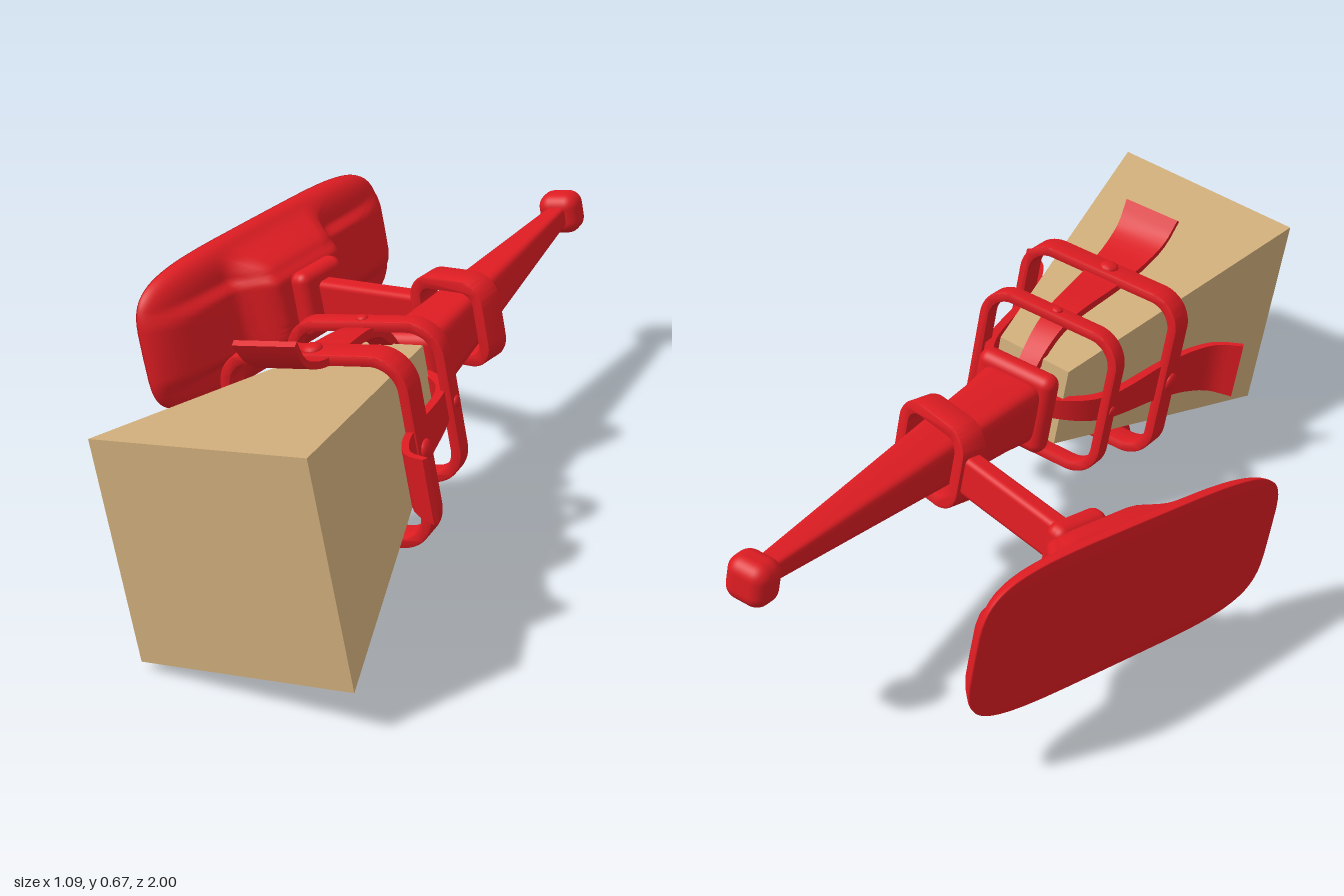
import * as THREE from 'three';
import { toCreasedNormals } from 'three/addons/utils/BufferGeometryUtils.js';
import { RoundedBoxGeometry } from 'three/addons/geometries/RoundedBoxGeometry.js';

const red = new THREE.MeshStandardMaterial({ color: 0xdc1c22 });
const tan = new THREE.MeshStandardMaterial({ color: 0xd2b07c });

function add(parent, name, geometry, material = red) {
  const mesh = new THREE.Mesh(geometry, material);
  mesh.name = name;
  parent.add(mesh);
  return mesh;
}

// Smooth skin over rows of points; every row is a closed loop
function skin(rows, columns, pointAt) {
  const positions = [], index = [];
  for (let i = 0; i < rows; i++) {
    for (let j = 0; j < columns; j++) {
      positions.push(...pointAt(i, (j / columns) * Math.PI * 2));
      if (i === rows - 1) continue;
      const a = i * columns + j, b = i * columns + (j + 1) % columns;
      index.push(a, b, b + columns, a, b + columns, a + columns);
    }
  }
  const geometry = new THREE.BufferGeometry();
  geometry.setAttribute('position', new THREE.Float32BufferAttribute(positions, 3));
  geometry.setIndex(index);
  geometry.computeVertexNormals();
  return geometry;
}

// Point on a rounded-square outline
function outline(angle, a, b, power = 5) {
  const f = (v) => Math.sign(v) * Math.abs(v) ** (2 / power);
  return [a * f(Math.cos(angle)), b * f(Math.sin(angle))];
}

// Rounded-square bar along z from [z, half size] stations
function bar(stations) {
  return skin(stations.length, 32, (i, t) => [...outline(t, stations[i][1], stations[i][1]), stations[i][0]]);
}

function roundedSquare(path, h, r) {
  path.moveTo(h, -h + r);
  path.absarc(h - r, h - r, r, 0, Math.PI / 2);
  path.absarc(-h + r, h - r, r, Math.PI / 2, Math.PI);
  path.absarc(-h + r, -h + r, r, Math.PI, Math.PI * 1.5);
  path.absarc(h - r, -h + r, r, Math.PI * 1.5, Math.PI * 2);
  path.closePath();
  return path;
}

// Hollow rounded-square hoop centred on z = 0
function hoop(half, thickness, width, radius) {
  const bevel = 0.005, h = half - bevel;
  const shape = roundedSquare(new THREE.Shape(), h, radius);
  shape.holes.push(roundedSquare(new THREE.Path(), half - thickness + bevel, radius - thickness + 2 * bevel));
  const geometry = new THREE.ExtrudeGeometry(shape, {
    depth: width - 2 * bevel, bevelSize: bevel, bevelThickness: bevel, bevelSegments: 2, curveSegments: 8,
  });
  geometry.translate(0, 0, -width / 2 + bevel);
  return toCreasedNormals(geometry, 0.6);
}

// Curved strip that widens and flares out towards its tip
function prong() {
  const path = new THREE.CatmullRomCurve3(
    [[0.02, 0.085], [0.085, 0.11], [0.145, 0.165], [0.175, 0.23], [0.207, 0.43], [0.235, 0.53], [0.27, 0.59], [0.325, 0.622]]
      .map(([r, z]) => new THREE.Vector3(0, r, z)));
  const geometry = new THREE.BoxGeometry(1, 1, 1, 1, 1, 28);
  const pos = geometry.attributes.position;
  for (let i = 0; i < pos.count; i++) {
    const t = pos.getZ(i) + 0.5;
    const p = path.getPointAt(t), d = path.getTangentAt(t);
    const width = 0.045 + 0.105 * t ** 1.3, off = pos.getY(i) * (0.026 - 0.012 * t);
    pos.setXYZ(i, pos.getX(i) * width, p.y + off * d.z, p.z - off * d.y);
  }
  return toCreasedNormals(geometry, 0.6);
}

// Wall plate in the yz plane: flat back, ridged front, central boss
function wallPlate() {
  const front = 36, back = 4, step = THREE.MathUtils.smoothstep;
  return skin(front + back + 1, 72, (i, t) => {
    const r = i <= front ? Math.sin((i / front) * Math.PI / 2) : 1 - (i - front) / back;
    const [z, y] = outline(t, 0.46 * r, 0.195 * r, 4.5);
    if (i >= front) return [0, y, z];
    const ridge = 1 - step(Math.abs(y), 0.075, 0.105);
    const boss = (1 - step(Math.abs(z), 0.11, 0.19)) * (1 - step(Math.abs(y), 0.10, 0.18));
    const edge = Math.sqrt(1 - r ** 6);
    return [edge * (0.06 + 0.02 * ridge) + 0.085 * boss * edge, y, z];
  });
}

// Tapered block, slightly skewed at its far end
function flameBlock() {
  const geometry = new THREE.BoxGeometry(1, 1, 1);
  const pos = geometry.attributes.position;
  for (let i = 0; i < pos.count; i++) {
    const t = pos.getZ(i) + 0.5;
    const size = THREE.MathUtils.lerp(0.205, 0.52, t);
    const x = pos.getX(i) * size;
    pos.setXYZ(i, x + 0.017 * t, pos.getY(i) * size, 0.125 + 0.85 * t + 0.068 * x);
  }
  geometry.computeVertexNormals();
  return geometry;
}

export function createModel() {
  const model = new THREE.Group();
  model.name = 'wallTorch';

  // Torch frame: z runs along the handle towards the flame
  const torch = new THREE.Group();
  torch.name = 'torch';
  const roll = THREE.MathUtils.degToRad(9.5);
  const z = new THREE.Vector3(0.022, -0.062, 1).normalize();
  const x = new THREE.Vector3(-Math.sin(roll), Math.cos(roll), 0).cross(z).normalize();
  const y = z.clone().cross(x);
  torch.quaternion.setFromRotationMatrix(new THREE.Matrix4().makeBasis(x, y, z));
  torch.position.set(0.186, 0.371, 0);
  model.add(torch);

  add(torch, 'flame', flameBlock(), tan);

  // Handle with end knob and collar
  add(torch, 'handle', bar([[-0.94, 0], [-0.94, 0.024], [-0.6, 0.044], [-0.28, 0.063], [-0.05, 0.076], [0.02, 0.083], [0.06, 0.086], [0.06, 0]]));
  add(torch, 'knob', new RoundedBoxGeometry(0.108, 0.108, 0.088, 5, 0.035)).position.z = -0.953;
  add(torch, 'collar', new RoundedBoxGeometry(0.215, 0.215, 0.06, 5, 0.028)).position.z = 0.062;
  add(torch, 'collarCap', new THREE.SphereGeometry(0.07, 20, 12)).position.z = 0.05;

  // Cage: two hoops, four prongs and their rivets
  const hoops = [
    { at: 0.2, half: 0.198, width: 0.045, rivet: 0.014 },
    { at: 0.437, half: 0.23, width: 0.066, rivet: 0.024 },
  ];
  for (const h of hoops) {
    add(torch, 'cageHoop', hoop(h.half, 0.026, h.width, 0.08)).position.z = h.at;
  }
  const prongGeometry = prong();
  for (let k = 0; k < 4; k++) {
    const side = new THREE.Group();
    side.name = 'cageSide';
    side.rotation.z = (k * Math.PI) / 2;
    torch.add(side);
    add(side, 'prong', prongGeometry);
    for (const h of hoops) {
      const rivet = add(side, 'rivet', new THREE.SphereGeometry(h.rivet, 14, 10));
      rivet.position.set(0, h.half, h.at);
      rivet.scale.y = 0.5;
    }
  }

  // Bracket: ring around the handle, arm and wall plate
  const bracket = new THREE.Group();
  bracket.name = 'bracket';
  bracket.position.z = -0.26;
  bracket.rotation.y = -0.25;
  torch.add(bracket);
  add(bracket, 'handleRing', hoop(0.112, 0.032, 0.072, 0.06));
  add(bracket, 'arm', new RoundedBoxGeometry(0.37, 0.1, 0.052, 4, 0.015)).position.x = -0.265;
  add(bracket, 'armFoot', new RoundedBoxGeometry(0.058, 0.175, 0.155, 5, 0.025)).position.x = -0.448;
  add(bracket, 'wallPlate', wallPlate()).position.x = -0.635;

  // Stand on the ground, centred
  model.updateMatrixWorld(true);
  const box = new THREE.Box3().setFromObject(model, true);
  const c = box.getCenter(new THREE.Vector3());
  torch.position.sub(new THREE.Vector3(c.x, box.min.y, c.z));
  return model;
}
